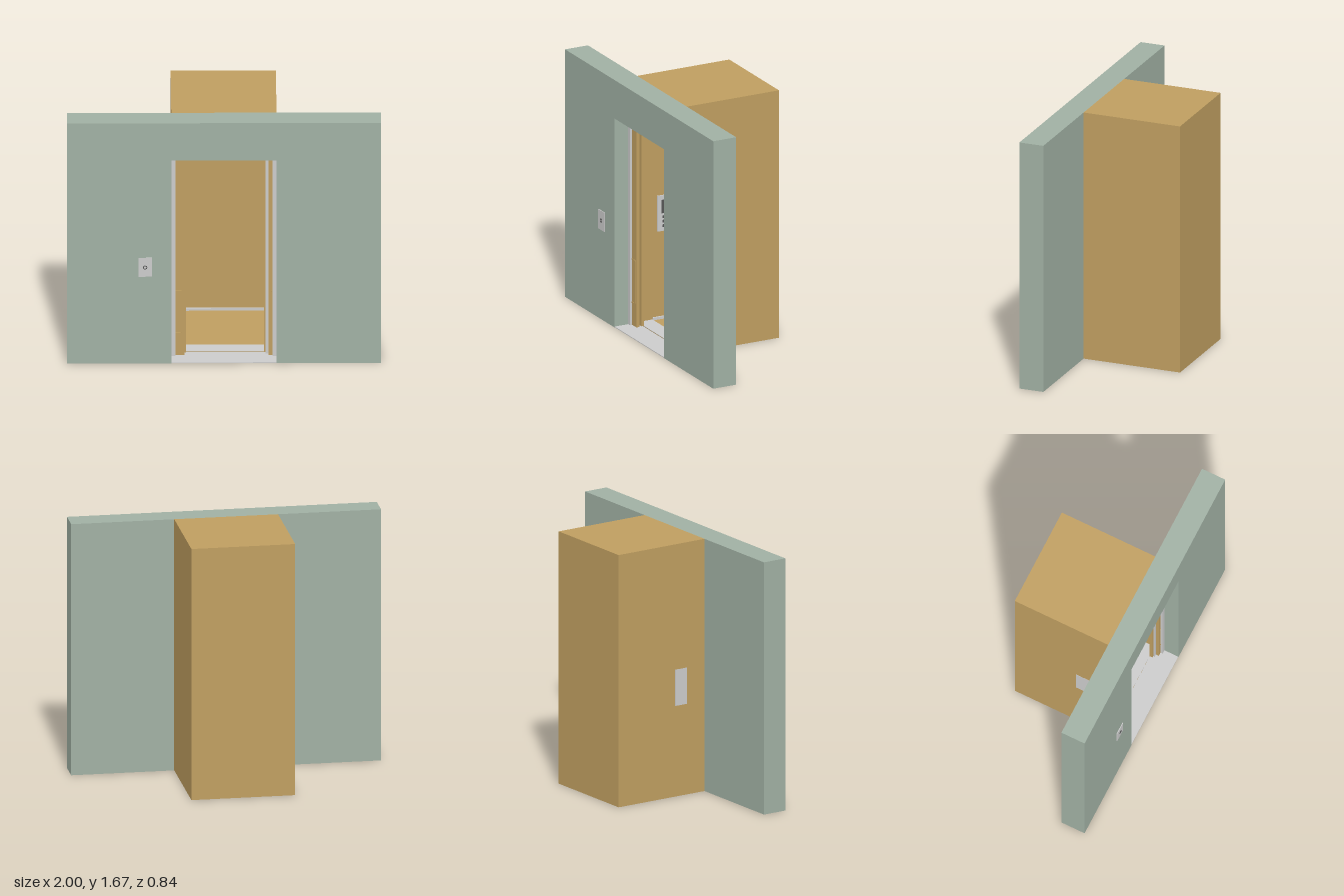
import * as THREE from 'three';

const grey = new THREE.MeshStandardMaterial({ color: 0xcccccc });
const green = new THREE.MeshStandardMaterial({ color: 0xa0b0a3 });
const wood = new THREE.MeshStandardMaterial({ color: 0xbf9e60 });
const dark = new THREE.MeshStandardMaterial({ color: 0x555555 });

// Box given by its minimum and maximum corners
function box(parent, name, mat, [x0, y0, z0], [x1, y1, z1]) {
  const mesh = new THREE.Mesh(new THREE.BoxGeometry(x1 - x0, y1 - y0, z1 - z0), mat);
  mesh.position.set((x0 + x1) / 2, (y0 + y1) / 2, (z0 + z1) / 2);
  mesh.name = name;
  parent.add(mesh);
  return mesh;
}

function shapeFrom(points) {
  return new THREE.Shape(points.map(([x, y]) => new THREE.Vector2(x, y)));
}

function extrude(parent, name, mat, shape, z, depth) {
  const mesh = new THREE.Mesh(new THREE.ExtrudeGeometry(shape, { depth, bevelEnabled: false }), mat);
  mesh.position.z = z;
  mesh.name = name;
  parent.add(mesh);
}

function roundedRect(x0, y0, x1, y1, r) {
  const s = new THREE.Shape();
  s.absarc(x1 - r, y1 - r, r, 0, Math.PI / 2);
  s.absarc(x0 + r, y1 - r, r, Math.PI / 2, Math.PI);
  s.absarc(x0 + r, y0 + r, r, Math.PI, Math.PI * 1.5);
  s.absarc(x1 - r, y0 + r, r, Math.PI * 1.5, Math.PI * 2);
  return s;
}

function ring(parent, name, mat, x, y, z, radius) {
  const mesh = new THREE.Mesh(new THREE.TorusGeometry(radius, 0.003, 8, 24), mat);
  mesh.position.set(x, y, z);
  mesh.name = name;
  parent.add(mesh);
}

export function createModel() {
  const model = new THREE.Group();
  model.name = 'elevator';
  const W = 0.335, H = 1.67, DOOR = 1.41, BACK = -0.42, MID = 0.245, FRONT = 0.41;

  // Landing wall with doorway
  extrude(model, 'landingWall', green, shapeFrom([
    [-1, 0], [-W, 0], [-W, DOOR], [W, DOOR], [W, 0], [1, 0], [1, H], [-1, H],
  ]), MID, FRONT - MID);

  // Door frame set back in the doorway
  extrude(model, 'doorFrame', grey, shapeFrom([
    [-W, 0], [-0.31, 0], [-0.31, 1.39], [0.31, 1.39], [0.31, 0], [W, 0], [W, DOOR], [-W, DOOR],
  ]), 0.295, 0.015);
  box(model, 'landingSill', grey, [-W, 0, MID], [W, 0.005, FRONT - 0.002]);

  // Hollow cabin
  const cabin = new THREE.Group();
  cabin.name = 'cabin';
  model.add(cabin);
  const t = 0.008;
  box(cabin, 'cabinFloor', wood, [-W, 0, BACK], [W, t, MID]);
  box(cabin, 'cabinRoof', wood, [-W, H - t, BACK], [W, H, MID]);
  box(cabin, 'cabinBack', wood, [-W, t, BACK], [W, H - t, BACK + t]);
  for (const s of [-1, 1]) {
    const a = Math.min(s * W, s * (W - t)), b = Math.max(s * W, s * (W - t));
    box(cabin, 'cabinSide', wood, [a, t, BACK + t], [b, H - t, MID]);
  }
  box(cabin, 'cabinSill', grey, [-W + t, t, 0.14], [W - t, t + 0.003, MID]);

  // Skirting and rear corner posts
  const inX = W - t, inZ = BACK + t;
  box(cabin, 'rearSkirting', grey, [-inX, t, inZ], [inX, 0.025, inZ + 0.012]);
  for (const s of [-1, 1]) {
    const skirting = box(cabin, 'sideSkirting', grey, [-0.006, t, inZ], [0.006, 0.025, 0.14]);
    skirting.position.x = s * (inX - 0.006);
    const post = box(cabin, 'cornerPost', grey, [-0.015, t, inZ], [0.015, H - t, inZ + 0.02]);
    post.position.x = s * (inX - 0.015);
  }

  // Open door leaves, landing leaf in front of cabin leaf
  for (const s of [-1, 1]) {
    const leaves = new THREE.Group();
    leaves.name = s < 0 ? 'rightDoors' : 'leftDoors';
    const inner = s < 0 ? 0.25 : 0.285;
    const span = (near, far) => (s < 0 ? [-far, -near] : [near, far]);
    const [a, b] = span(inner, W - 0.001);
    box(leaves, 'landingDoor', wood, [a, 0.006, 0.275], [b, 1.4, 0.295]);
    const [c, d] = span(s < 0 ? 0.24 : 0.255, W - 0.009);
    box(leaves, 'cabinDoor', wood, [c, 0.012, 0.245], [d, 1.4, 0.265]);
    const [e, f] = span(inner + 0.015, 0.325);
    const trim = roundedRect(e, 0.155, f, 0.455, 0.01);
    trim.holes.push(roundedRect(e + 0.006, 0.163, f - 0.006, 0.447, 0.006));
    extrude(leaves, 'doorTrim', wood, trim, 0.294, 0.004);
    model.add(leaves);
  }
  box(model, 'doorGuide', grey, [0.265, 0.006, 0.266], [0.284, 1.4, 0.274]);

  // Call plate beside the doorway
  const call = new THREE.Group();
  call.name = 'callPlate';
  box(call, 'plate', grey, [-0.545, 0.605, FRONT - 0.002], [-0.46, 0.735, FRONT + 0.005]);
  ring(call, 'callButton', dark, -0.503, 0.67, FRONT + 0.006, 0.011);
  model.add(call);

  // Control panel on the cabin side wall
  const controls = new THREE.Group();
  controls.name = 'controlPanel';
  box(controls, 'panelPlate', grey, [-W - 0.001, 0.6, 0.018], [-0.318, 0.84, 0.108]);
  box(controls, 'display', dark, [-0.319, 0.72, 0.045], [-0.316, 0.81, 0.08]);
  for (const y of [0.635, 0.665, 0.695]) {
    const button = new THREE.Mesh(new THREE.CylinderGeometry(0.01, 0.01, 0.006, 20), dark);
    button.rotation.z = Math.PI / 2;
    button.position.set(-0.318, y, 0.063);
    button.name = 'floorButton';
    controls.add(button);
  }
  model.add(controls);

  return model;
}
